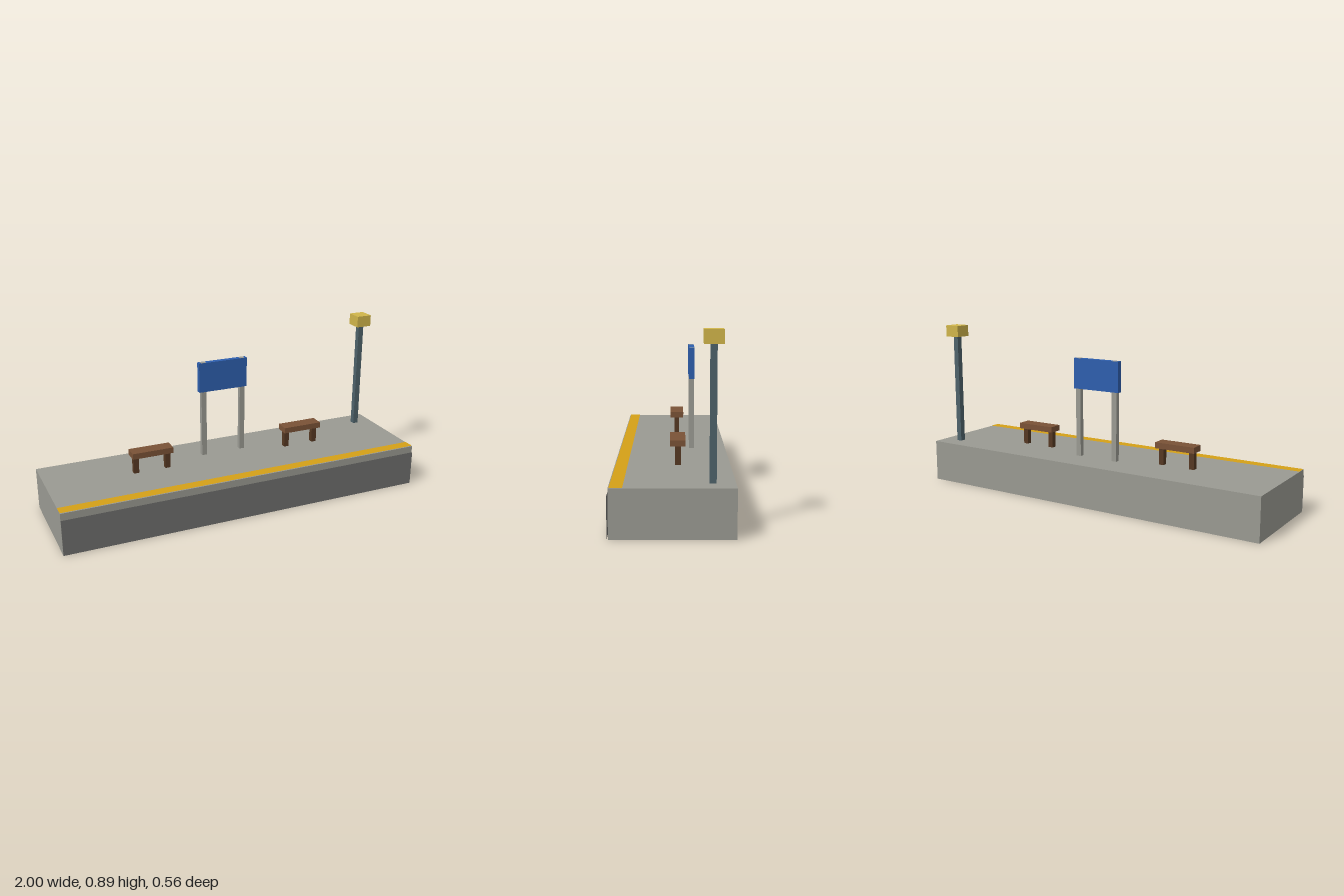
import * as THREE from 'three';

const mat = (name, color) => {
  const m = new THREE.MeshStandardMaterial({ color, side: THREE.DoubleSide });
  m.name = name;
  return m;
};

// Box given by its extents, without the bottom face
function openBox(name, material, [x0, x1], [y0, y1], [z0, z1]) {
  const g = new THREE.BoxGeometry(x1 - x0, y1 - y0, z1 - z0);
  const index = Array.from(g.index.array);
  index.splice(18, 6);
  g.setIndex(index);
  g.clearGroups();
  g.translate((x0 + x1) / 2, (y0 + y1) / 2, (z0 + z1) / 2);
  const mesh = new THREE.Mesh(g, material);
  mesh.name = name;
  return mesh;
}

const span = (c, w) => [c - w / 2, c + w / 2];

export function createModel() {
  const concrete = mat('concrete', 0x9a9a92);
  const darkConcrete = mat('darkConcrete', 0x6e6e6c);
  const safetyYellow = mat('safetyYellow', 0xd4a017);
  const signBlue = mat('signBlue', 0x2e5fae);
  const seatWood = mat('seatWood', 0x7a5236);
  const legWood = mat('legWood', 0x553822);
  const poleSteel = mat('poleSteel', 0x4e626a);
  const lampGlow = mat('lampGlow', 0xd0b54a);

  const model = new THREE.Group();
  model.name = 'stationPlatform';
  const top = 0.225;

  // Platform shell
  model.add(openBox('platform', concrete, [-1, 1], [0, top], [-0.278, 0.272]));

  // Dark facing standing just off the front wall
  const facing = new THREE.Mesh(new THREE.PlaneGeometry(2, 0.19), darkConcrete);
  facing.name = 'frontFacing';
  facing.position.set(0, 0.095, 0.278);
  model.add(facing);

  // Edge stripe
  const stripe = new THREE.Mesh(new THREE.PlaneGeometry(2, 0.058), safetyYellow);
  stripe.name = 'edgeStripe';
  stripe.rotation.x = -Math.PI / 2;
  stripe.position.set(0, top + 0.002, 0.239);
  model.add(stripe);

  // Two benches
  for (const [side, x] of [['right', -0.44], ['left', 0.44]]) {
    const bench = new THREE.Group();
    bench.name = side + 'Bench';
    bench.add(openBox('seat', seatWood, span(x, 0.222), [0.315, 0.346], span(-0.028, 0.074)));
    for (const dx of [-0.087, 0.087]) {
      bench.add(openBox('benchLeg', legWood, span(x + dx, 0.028), [top, 0.315], span(-0.028, 0.028)));
    }
    model.add(bench);
  }

  // Sign board with posts running through to its top
  const sign = new THREE.Group();
  sign.name = 'sign';
  sign.add(openBox('signBoard', signBlue, span(0, 0.276), [0.59, 0.752], span(-0.103, 0.028)));
  for (const x of [-0.112, 0.112]) {
    sign.add(openBox('signPost', concrete, span(x, 0.028), [top, 0.7525], span(-0.103, 0.025)));
  }
  model.add(sign);

  // Lamp post
  const lamp = new THREE.Group();
  lamp.name = 'lampPost';
  lamp.add(openBox('lampPole', poleSteel, span(0.898, 0.03), [top, 0.83], span(-0.178, 0.03)));
  lamp.add(openBox('lampHead', lampGlow, span(0.898, 0.086), [0.828, 0.89], span(-0.178, 0.086)));
  model.add(lamp);

  return model;
}
